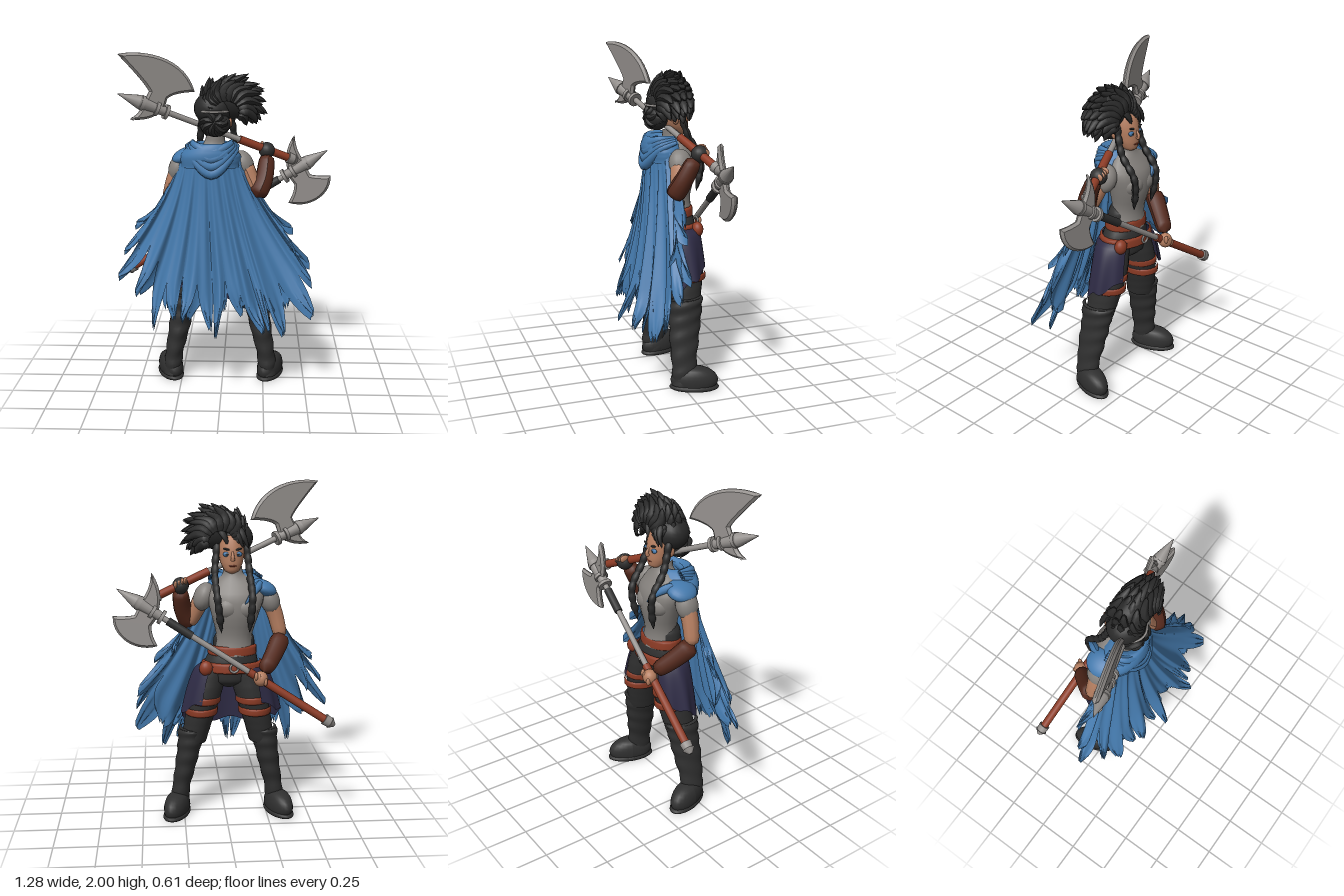
import * as THREE from 'three';
import { mergeVertices } from 'three/addons/utils/BufferGeometryUtils.js';

const V = (x, y, z) => new THREE.Vector3(x, y, z);
const mat = (name, color, side = THREE.FrontSide) => {
  const m = new THREE.MeshStandardMaterial({ color, side });
  m.name = name;
  return m;
};

export function createModel() {
  const blue = mat('cape blue', 0x4479ac, THREE.DoubleSide), purple = mat('skirt purple', 0x2e2b45, THREE.DoubleSide);
  const steel = mat('steel', 0x94908d), shirt = mat('shirt grey', 0x85817d), skin = mat('skin', 0xb57e60);
  const black = mat('hair black', 0x292929), coal = mat('charcoal leather', 0x303030);
  const red = mat('red leather', 0x8c3b25), brown = mat('brown leather', 0x54291c);
  const model = new THREE.Group();
  let seed = 7;
  const rnd = () => (seed = (seed * 16807) % 2147483647) / 2147483647;

  const add = (name, geo, m, parent = model) => {
    const mesh = new THREE.Mesh(geo, m);
    mesh.name = name;
    parent.add(mesh);
    return mesh;
  };
  // Grid surface from a rule f(u, v)
  const sheet = (nu, nv, f) => {
    const pos = [], idx = [];
    for (let j = 0; j <= nv; j++) for (let i = 0; i <= nu; i++) pos.push(...f(i / nu, j / nv).toArray());
    for (let j = 0; j < nv; j++) for (let i = 0; i < nu; i++) {
      const a = j * (nu + 1) + i, c = a + nu + 1;
      idx.push(a, c, a + 1, a + 1, c, c + 1);
    }
    let g = new THREE.BufferGeometry();
    g.setAttribute('position', new THREE.Float32BufferAttribute(pos, 3));
    g.setIndex(idx);
    g = mergeVertices(g, 1e-5);
    g.computeVertexNormals();
    return g;
  };
  // Smooth body through elliptical rings [x, y, z, rx, rz], listed bottom to top
  const loft = (name, rings, m, nv = 20, wrinkle = 0) => {
    const mid = new THREE.CatmullRomCurve3(rings.map(r => V(r[0], r[1], r[2])));
    const rad = new THREE.CatmullRomCurve3(rings.map(r => V(r[3], r[4], 0)));
    return add(name, sheet(20, nv, (u, v) => {
      const c = mid.getPoint(v), r = rad.getPoint(v), a = (u % 1) * Math.PI * 2;
      const k = 1 + wrinkle * Math.sin(v * 45 + 2 * Math.sin(a));
      return V(c.x + Math.cos(a) * r.x * k, c.y, c.z + Math.sin(a) * r.y * k);
    }), m);
  };
  // Tube through points whose radius follows profile(t)
  const strand = (name, pts, r, profile, m, seg = 12, sides = 10) => {
    const path = new THREE.CatmullRomCurve3(pts), g = new THREE.TubeGeometry(path, seg, r, sides);
    const p = g.attributes.position, q = V();
    for (let i = 0; i < p.count; i++) {
      const t = Math.floor(i / (sides + 1)) / seg, c = path.getPointAt(t);
      q.fromBufferAttribute(p, i).sub(c).multiplyScalar(profile(t)).add(c);
      p.setXYZ(i, q.x, q.y, q.z);
    }
    g.computeVertexNormals();
    return add(name, g, m);
  };
  const limb = t => Math.pow(Math.max(0, 1 - Math.pow(Math.abs(2 * t - 1), 8)), 0.5) * (1.08 - 0.25 * t);
  const point = t => Math.min(1, 0.55 + t * 2) * Math.pow(1 - t, 0.6);
  const ball = (name, x, y, z, rx, ry, rz, m, rot = 0) => {
    const b = add(name, new THREE.SphereGeometry(1, 20, 14), m);
    b.position.set(x, y, z);
    b.scale.set(rx, ry, rz);
    b.rotation.z = rot;
  };

  // Legs, boots and thigh straps
  for (const s of [-1, 1]) {
    const o = s < 0 ? -0.02 : -0.01;
    loft('trouserLeg', [[s * .2 + o, .46, -.03, .075, .09], [s * .17 + o, .6, -.05, .085, .1],
      [s * .13 + o, .76, -.06, .096, .11], [s * .09 + o, .92, -.05, .095, .105]], coal, 20, .01);
    loft('boot', [[s * .285 + o, .03, -.01, .06, .08], [s * .28 + o, .14, -.005, .054, .075],
      [s * .25 + o, .3, -.015, .063, .09], [s * .225 + o, .44, -.03, .072, .098],
      [s * .21 + o, .54, -.035, .081, .105], [s * .2 + o, .55, -.035, .07, .09]], coal, 40, .04);
    for (const [name, y0, h, k] of [['bootFoot', .055, .085, 1], ['bootSole', .012, .03, 1.05]]) {
      const g = new THREE.SphereGeometry(1, 24, 14), p = g.attributes.position;
      for (let i = 0; i < p.count; i++) {
        const w = Math.pow(1 - p.getY(i) ** 2, -0.2) || 1;
        p.setXYZ(i, p.getX(i) * .07 * k * Math.min(w, 1.3), Math.max(-y0, p.getY(i) * h), p.getZ(i) * .142 * k);
      }
      g.computeVertexNormals();
      const f = add(name, g, coal);
      f.position.set(s * .305 + o, y0, -.06);
      f.rotation.y = -s * .33;
    }
    for (const y of [.66, .73]) {
      const x = s * (.17 - (y - .6) * .25) + o;
      loft('thighStrap', [[x, y - .022, -.058, .092, .11], [x, y - .014, -.058, .098, .12],
        [x, y + .014, -.058, .099, .121], [x, y + .022, -.058, .094, .112]], red, 8);
    }
  }

  // Hips, torso, belts
  loft('hips', [[-.02, .8, -.05, .03, .03], [-.02, .85, -.05, .15, .11], [-.03, .94, -.05, .16, .115],
    [-.045, 1.04, -.05, .12, .095], [-.045, 1.06, -.05, .1, .08]], coal);
  loft('shirt', [[-.045, 1.0, -.06, .12, .1], [-.05, 1.1, -.06, .105, .088], [-.055, 1.24, -.068, .14, .108],
    [-.06, 1.34, -.065, .165, .105], [-.06, 1.42, -.045, .13, .08], [-.045, 1.47, -.04, .06, .06],
    [-.04, 1.515, -.035, .055, .055]], shirt);
  loft('waistBand', [[-.05, 1.03, -.04, .125, .09], [-.05, 1.09, -.04, .12, .088], [-.05, 1.13, -.04, .1, .07]], coal, 8);
  for (const s of [-1, 1]) ball('chest', -.06 + s * .05, 1.28, -.11, .078, .072, .072, shirt);
  for (const [y, r] of [[.93, .176], [1.025, .137]])
    loft('belt', [[-.04, y - .03, -.05, r - .005, r * .73], [-.04, y - .022, -.05, r + .008, r * .77 + .004],
      [-.04, y + .022, -.05, r + .006, r * .77], [-.04, y + .03, -.05, r - .012, r * .7]], red, 10);
  add('beltBuckle', new THREE.TorusGeometry(.024, .007, 6, 16), steel).position.set(-.04, .94, -.195);
  ball('beltPouch', .12, .93, -.14, .04, .045, .035, red);

  // Skirt, open at the front and longer at the back
  add('skirt', sheet(60, 14, (u, v) => {
    const a = -Math.PI / 2 + .64 + u * (Math.PI * 2 - 1.28), back = (Math.sin(a) + 1) / 2;
    const hem = .73 - .18 * back + .015 * Math.sin(u * 40), r = 1 + v * .025 * Math.sin(u * 55);
    return V(-.03 + Math.cos(a) * (.178 + .118 * Math.sqrt(v)) * r, .94 + (hem - .94) * v,
      -.05 + Math.sin(a) * (.13 + .03 * Math.sqrt(v)) * r);
  }), purple);

  // Arms: one raised to the shoulder, one lowered across the hips
  ball('sleeve', .125, 1.335, -.03, .06, .085, .07, shirt, .35);
  strand('upperArm', [V(.13, 1.34, -.02), V(.17, 1.25, 0), V(.215, 1.16, .02)], .05, limb, skin);
  strand('bracer', [V(.2, 1.15, .045), V(.245, 1.25, 0), V(.265, 1.39, -.07)], .056, limb, brown);
  ball('glove', .262, 1.41, -.095, .048, .048, .05, coal);
  ball('sleeve', -.262, 1.31, -.03, .058, .085, .068, shirt, -.3);
  strand('upperArm', [V(-.25, 1.34, -.03), V(-.295, 1.22, -.03), V(-.33, 1.08, -.04)], .05, limb, skin);
  strand('bracer', [V(-.335, 1.1, -.03), V(-.28, 1.01, -.12), V(-.21, .92, -.22)], .056, limb, brown);
  ball('hand', -.19, .885, -.235, .042, .045, .042, skin);
  for (let i = 0; i < 4; i++) {
    ball('finger', -.215 + i * .018, .872 + i * .0115, -.262, .011, .024, .014, skin);
    ball('finger', .235 + i * .018, 1.44 - i * .0075, -.115, .011, .022, .03, skin);
  }

  // Neck, head and face
  loft('neck', [[-.045, 1.44, -.045, .05, .05], [-.04, 1.48, -.045, .045, .045], [-.035, 1.54, -.04, .045, .045]], skin, 6);
  loft('head', [[-.035, 1.475, -.085, .012, .012], [-.035, 1.49, -.08, .04, .042], [-.035, 1.54, -.055, .066, .078],
    [-.035, 1.61, -.04, .076, .09], [-.035, 1.68, -.035, .065, .075], [-.035, 1.72, -.03, .01, .01]], skin);
  strand('nose', [V(-.035, 1.605, -.126), V(-.035, 1.57, -.142), V(-.035, 1.558, -.135)], .013, t => .4 + .6 * t, skin, 6, 8);
  ball('mouth', -.035, 1.524, -.126, .022, .006, .008, red);
  for (const s of [-1, 1]) {
    ball('facePaint', -.035 + s * .032, 1.59, -.116, .024, .015, .012, blue);
    ball('eye', -.035 + s * .032, 1.59, -.125, .01, .006, .005, black);
    ball('eyebrow', -.035 + s * .032, 1.618, -.12, .024, .006, .008, black, s * .2);
    ball('ear', -.035 + s * .08, 1.58, -.03, .012, .03, .02, skin);
  }

  // Hair: cap, bun, swept crest of locks, fringe and braids
  ball('hairCap', -.05, 1.67, .01, .115, .1, .105, black);
  ball('hairBun', -.04, 1.585, .06, .09, .075, .066, black);
  ball('hairCrest', .05, 1.725, 0, .15, .115, .09, black, -.2);
  for (let i = 0; i < 13; i++) for (const k of [-1.5, -.5, .5, 1.5]) {
    const a = 2.8 - i * .28 + rnd() * .2, len = .155 + .08 * Math.sin(Math.min(3, i * .25)) + rnd() * .035 - Math.abs(k) * .025;
    const at = (r, b) => V(.03 + r * Math.cos(b) * 1.08, 1.66 + r * Math.sin(b) * .92, k * .05 * (1.4 - r * 3.6));
    strand('hairLock', [at(.06, a + .25), at(len * .65, a + .2), at(len, a - .15)], .042, point, black, 8, 6);
  }
  for (let i = 0; i < 7; i++) {
    const b = i * .9;
    strand('bunLock', [V(-.045, 1.6, .11), V(-.045 + .06 * Math.cos(b), 1.59 + .05 * Math.sin(b), .105),
      V(-.045 + .1 * Math.cos(b + .7), 1.585 + .08 * Math.sin(b + .7), .05)], .026, point, black, 8, 6);
  }
  for (const x of [-.1, -.07, .01])
    strand('fringe', [V(x + .03, 1.74, -.06), V(x, 1.69, -.1), V(x - .03, 1.62, -.105)], .026, point, black, 8, 6);
  for (const s of [-1, 1])
    strand('braid', [V(-.035 + s * .085, 1.64, -.05), V(-.035 + s * .1, 1.48, -.1), V(-.045 + s * .1, 1.34, -.185),
      V(-.05 + s * .08, 1.14, -.165)], .022, t => (.75 + .25 * Math.abs(Math.sin(t * 28))) * Math.min(1, (1 - t) * 8), black, 60, 8);
  const band = add('hairBand', new THREE.TorusGeometry(.085, .007, 6, 28, Math.PI), steel);
  band.rotation.x = Math.PI / 2;
  band.position.set(-.045, 1.66, .038);

  // Cape: two layers of rippled cloth whose lower part is torn into ragged strips
  const collar = new THREE.CatmullRomCurve3([V(-.265, 1.38, -.01), V(-.2, 1.42, .07), V(-.07, 1.42, .12),
    V(.06, 1.42, .07), V(.13, 1.38, 0)]);
  const hem = new THREE.CatmullRomCurve3([V(-.43, 1.0, .03), V(-.59, .8, .04), V(-.57, .58, .11), V(-.44, .36, .2),
    V(-.25, .41, .25), V(-.06, .29, .26), V(.1, .39, .26), V(.24, .42, .25), V(.36, .37, .23), V(.56, .55, .16),
    V(.49, .79, .12), V(.33, 1.02, .06)]);
  for (const [strips, shortest, inset] of [[17, .9, 0], [11, .8, .022]]) for (let i = 0; i < strips; i++) {
    const len = shortest + rnd() * .12, lean = (rnd() - .5) * .1, cut = .66 + rnd() * .18, curl = (rnd() - .5) * .05;
    add('capeStrip', sheet(12, 26, (u, t) => {
      const w = u * 2 - 1, v = t * len, c = Math.max(0, (t - cut) / (1 - cut));
      const narrow = 1 - .85 * Math.pow(c, 1.6), uu = THREE.MathUtils.clamp((i + .5 + w * .52 * narrow) / strips, 0, 1);
      const a = collar.getPoint(uu), b = hem.getPoint(uu), e = Math.pow(v, 1.35);
      const fold = .026 * Math.sin(uu * 62 + 2 * v) + .016 * Math.sin(uu * 113 + 1.5);
      return V(a.x + (b.x - a.x) * e + lean * c * c, a.y + (b.y - a.y) * v + .02 * c * Math.sin(w * 8),
        a.z + (b.z - a.z) * Math.pow(v, 1.9) + fold * v + curl * c * c - inset * v);
    }), blue);
  }

  // Mantle and folded hood
  loft('mantle', [[-.07, 1.33, .02, .175, .11], [-.07, 1.39, .02, .178, .12], [-.065, 1.44, .025, .145, .11],
    [-.055, 1.475, .03, .095, .085], [-.05, 1.46, .02, .07, .06]], blue, 16, .012);
  ball('shoulderDrape', -.22, 1.385, -.035, .085, .045, .09, blue, .4);
  for (let i = 0; i < 4; i++) {
    const w = .15 - i * .012, y = 1.45 + i * .008, d = .15 - i * .035;
    strand('hoodFold', [V(-.06 - w, y, -.02), V(-.06 - w * .85, y - d * .25, .07), V(-.06, y - d, .13 - i * .008),
      V(-.06 + w * .85, y - d * .25, .07), V(-.06 + w, y, -.02)], .03, t => .35 + .65 * Math.sin(Math.PI * t), blue, 24, 8);
  }
  strand('scarfEnd', [V(-.2, 1.42, -.08), V(-.15, 1.37, -.16), V(-.1, 1.31, -.19)], .03, point, blue);

  // Double axe; local y runs up the shaft to the tip, local x towards the blade.
  // horns lists the blade's upper tip, its bulge controls and its lower tip
  const axe = (name, end, tip, facing, horns, spike, bands) => {
    const g = new THREE.Group(), d = tip.clone().sub(end), L = d.length();
    d.normalize();
    const b = facing.addScaledVector(d, -facing.dot(d)).normalize();
    g.applyMatrix4(new THREE.Matrix4().makeBasis(b, d, b.clone().cross(d)).setPosition(tip));
    g.name = name;
    model.add(g);
    const rod = (n, r0, r1, y0, y1, m) => add(n, new THREE.CylinderGeometry(r1, r0, y1 - y0, 14), m, g).position.set(0, (y0 + y1) / 2, 0);
    rod('shaft', .017, .017, -L + .03, -.1, steel);
    for (const [f0, f1, m] of bands) rod('grip', .024, .024, -L * (1 - f0), -L * (1 - f1), m);
    rod('pommelCollar', .03, .034, -L + .03, -L + .07, steel);
    rod('pommel', .01, .036, -L, -L + .03, steel);
    rod('socket', .026, .04, -.31, -.13, steel);
    rod('topSpike', .04, .002, -.13, 0, steel);
    for (const y of [-.3, -.24, -.15]) rod('socketRing', .043, .043, y - .01, y + .01, steel);
    const [top, c1, c2, low] = horns, s = new THREE.Shape();
    s.moveTo(0, -.16);
    s.lineTo(.075, -.165);
    s.quadraticCurveTo(.11, -.13, ...top);
    s.bezierCurveTo(...c1, ...c2, ...low);
    s.quadraticCurveTo(.12, -.3, .075, -.275);
    s.lineTo(0, -.28);
    const h = new THREE.Shape();
    h.moveTo(0, -.15);
    h.quadraticCurveTo(-spike * .5, -.17, -spike, -.12);
    h.quadraticCurveTo(-spike * .7, -.24, 0, -.27);
    for (const [n, shape] of [['blade', s], ['backSpike', h]])
      add(n, new THREE.ExtrudeGeometry(shape, { depth: .008, bevelThickness: .014, bevelSize: .014,
        bevelOffset: -.012, bevelSegments: 1, curveSegments: 14 }), steel, g).position.z = -.004;
  };
  axe('shoulderAxe', V(.45, 1.335, -.155), V(-.58, 1.77, .195), V(.39, .92, -.07),
    [[.205, .075], [.27, -.03], [.34, -.27], [.165, -.41]], .11, [[.05, .34, red]]);
  axe('loweredAxe', V(-.62, .605, -.26), V(.625, 1.402, -.145), V(.54, -.84, 0),
    [[.145, -.065], [.245, -.12], [.255, -.28], [.155, -.365]], .18, [[.03, .4, red], [.66, .77, coal]]);

  return model;
}
